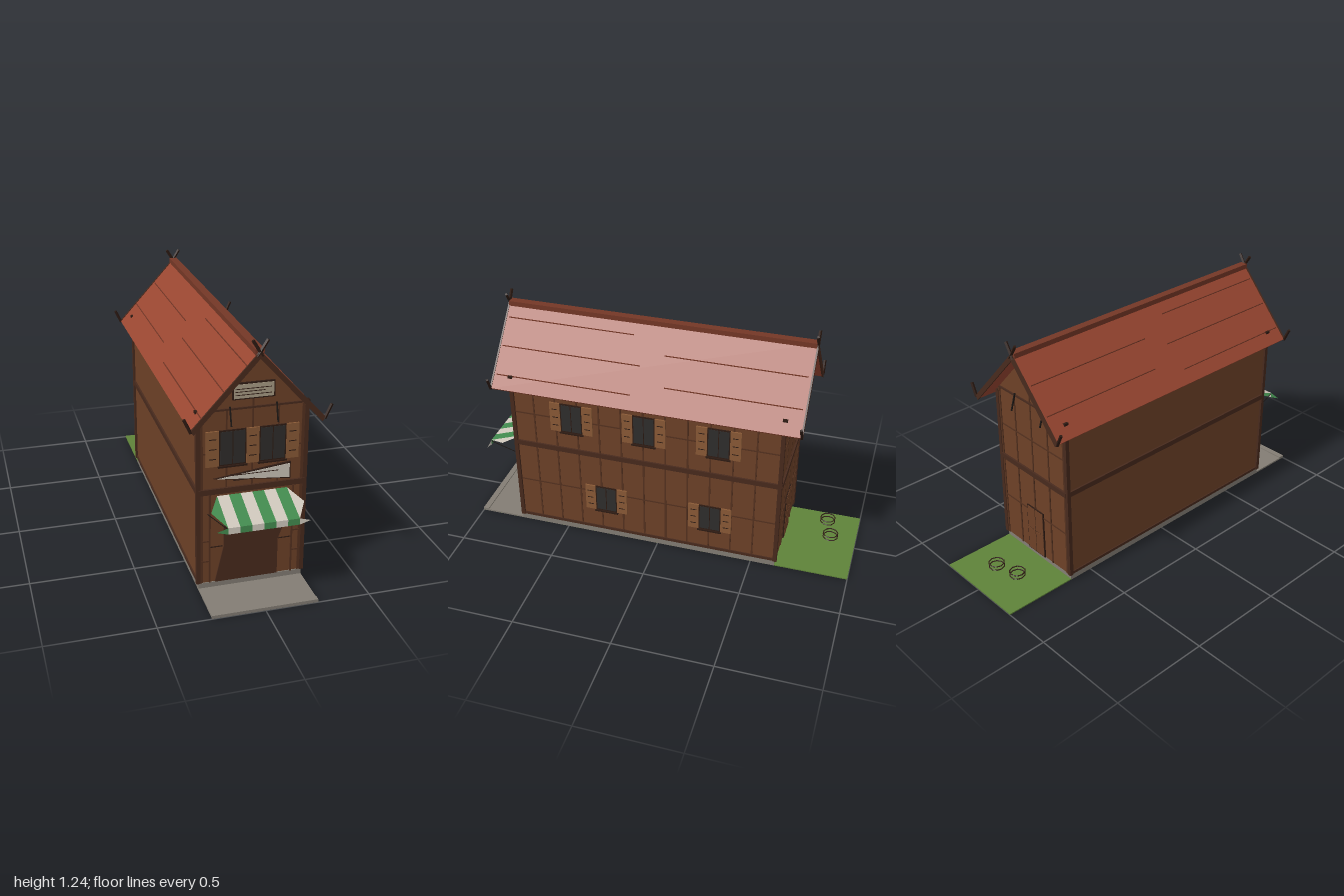
import * as THREE from 'three';

const COLORS = {
  wall: 0x6d4127, timber: 0x482a1d, dark: 0x2e1b13, seam: 0x54311f, shutter: 0x8a5a36,
  roof: 0x994631, roofSeam: 0x743726, pane: 0x2f2d2c, stone: 0x837d74, grass: 0x5f8339,
  green: 0x428a4e, white: 0xcfc8bc, sign: 0xaa9d86, iron: 0x1a1512,
};
const mats = {};
for (const key in COLORS) {
  mats[key] = new THREE.MeshStandardMaterial({ color: COLORS[key], flatShading: true, side: THREE.DoubleSide });
}

function add(parent, name, geo, color) {
  const mesh = new THREE.Mesh(geo, mats[color]);
  mesh.name = name;
  parent.add(mesh);
  return mesh;
}

// Box given by its limits
function box(parent, name, color, x0, x1, y0, y1, z0, z1) {
  const mesh = add(parent, name, new THREE.BoxGeometry(x1 - x0, y1 - y0, z1 - z0), color);
  mesh.position.set((x0 + x1) / 2, (y0 + y1) / 2, (z0 + z1) / 2);
}

// Thin bar between two points, in the parent's own frame
function bar(parent, name, color, a, b, thick) {
  const p = new THREE.Vector3(...a), q = new THREE.Vector3(...b);
  const mesh = add(parent, name, new THREE.BoxGeometry(thick, thick, p.distanceTo(q)), color);
  mesh.position.copy(p).lerp(q, 0.5);
  mesh.quaternion.setFromUnitVectors(new THREE.Vector3(0, 0, 1), q.sub(p).normalize());
}

// Outline in x, y extruded from z0 to z1
function prism(parent, name, color, points, z0, z1) {
  const shape = new THREE.Shape(points.map(([x, y]) => new THREE.Vector2(x, y)));
  const mesh = add(parent, name, new THREE.ExtrudeGeometry(shape, { depth: z1 - z0, bevelEnabled: false }), color);
  mesh.position.z = z0;
}

// Shuttered window on the local plane z = 0, facing +z
function makeWindow(parent, cx, y0, y1, w, sw) {
  const g = new THREE.Group();
  g.name = 'window';
  const h = y1 - y0;
  box(g, 'windowFrame', 'dark', -w / 2, w / 2, 0, h, 0, 0.006);
  box(g, 'pane', 'pane', -w / 2 + 0.006, w / 2 - 0.006, 0.006, h - 0.006, 0, 0.0075);
  box(g, 'mullion', 'dark', -0.002, 0.002, 0.006, h - 0.006, 0, 0.009);
  box(g, 'sill', 'dark', -w / 2 - 0.005, w / 2 + 0.005, -0.008, 0, 0, 0.014);
  for (const s of [-1, 1]) {
    const x = s * (w + sw) / 2;
    box(g, 'shutter', 'shutter', x - sw / 2, x + sw / 2, 0, h, 0, 0.008);
    for (const f of [0.22, 0.5, 0.78]) {
      box(g, 'shutterSlat', 'dark', x - sw * 0.28, x + sw * 0.28, h * f - 0.002, h * f + 0.002, 0, 0.0095);
    }
  }
  g.position.set(cx, y0, 0);
  parent.add(g);
}

// Timber framing shared by the two end walls
function frameEnd(g) {
  box(g, 'middleBeam', 'timber', -0.25, 0.25, 0.493, 0.52, 0, 0.01);
  box(g, 'gableBeam', 'timber', -0.25, 0.25, 0.893, 0.902, 0, 0.007);
  for (const x of [-0.12, 0, 0.12]) box(g, 'upperStud', 'seam', x - 0.004, x + 0.004, 0.52, x ? 0.893 : 0.94, 0, 0.003);
  for (const s of [-1, 1]) {
    box(g, 'edgeStud', 'seam', s * 0.235 - 0.006, s * 0.235 + 0.006, 0.035, 0.89, 0, 0.004);
    bar(g, 'gableBracket', 'iron', [s * 0.107, 0.91, 0.005], [s * 0.107, 0.825, 0.03], 0.006);
  }
}

function buildFront(g) {
  frameEnd(g);
  box(g, 'wallRail', 'seam', -0.25, 0.25, 0.69, 0.697, 0, 0.003);
  for (const s of [-1, 1]) {
    makeWindow(g, s * 0.093, 0.63, 0.8, 0.126, 0.06);
    box(g, 'doorPost', 'seam', s * 0.197 - 0.004, s * 0.197 + 0.004, 0.035, 0.49, 0, 0.007);
    box(g, 'panelRail', 'dark', s * 0.165 - 0.03, s * 0.165 + 0.03, 0.218, 0.222, 0, 0.004);
    for (const y of [0.145, 0.25]) box(g, 'sidePanelRail', 'seam', s * 0.22 - 0.02, s * 0.22 + 0.02, y, y + 0.007, 0, 0.005);
  }
  prism(g, 'doorway', 'timber', [[-0.13, 0.44], [0.19, 0.44], [0.19, 0.385], [0.13, 0.22], [0.13, 0.035],
    [-0.172, 0.035], [-0.13, 0.22]], 0, 0.006);
  // Signs
  box(g, 'gableSignFrame', 'dark', -0.097, 0.097, 0.94, 1.017, 0, 0.01);
  box(g, 'gableSign', 'sign', -0.091, 0.091, 0.946, 1.011, 0, 0.012);
  for (const [y, x] of [[0.962, 0.08], [0.977, 0.05], [0.99, 0.08]]) {
    box(g, 'signGroove', 'dark', -0.085, x, y - 0.0015, y + 0.0015, 0, 0.0135);
  }
  prism(g, 'pennantEdge', 'dark', [[-0.18, 0.569], [0.18, 0.53], [0.18, 0.613]], 0, 0.01);
  prism(g, 'pennant', 'white', [[-0.165, 0.569], [0.175, 0.536], [0.175, 0.606]], 0, 0.012);
  box(g, 'pennantGroove', 'dark', -0.09, 0.01, 0.552, 0.555, 0, 0.0135);
  box(g, 'pennantGroove', 'dark', -0.1, 0.12, 0.578, 0.581, 0, 0.0135);
}

// Striped awning with pointed ends: sloping sheet plus hanging valance
function buildAwning(g) {
  const sheet = (name, color, pts) => {
    const geo = new THREE.BufferGeometry();
    geo.setAttribute('position', new THREE.Float32BufferAttribute(pts.flat(), 3));
    geo.setIndex(pts.length === 4 ? [0, 1, 2, 0, 2, 3] : [0, 1, 2]);
    geo.computeVertexNormals();
    add(g, name, geo, color);
  };
  const rows = [['awningStripe', 0.485, 0.005, 0.42, 0.185], ['valanceStripe', 0.42, 0.185, 0.39, 0.187]];
  for (const [name, yT, zT, yB, zB] of rows) {
    const w = 0.055, yM = (yT + yB) / 2, zM = (zT + zB) / 2;
    for (let i = -3; i < 3; i++) {
      const a = i * w, b = a + w;
      sheet(name, i % 2 ? 'white' : 'green', [[a, yB, zB], [b, yB, zB], [b, yT, zT], [a, yT, zT]]);
    }
    sheet(name, 'green', [[-0.165, yT, zT], [-0.217, yM, zM], [-0.165, yB, zB]]);
    sheet(name, 'white', [[0.165, yB, zB], [0.217, yM, zM], [0.165, yT, zT]]);
  }
  for (const s of [-1, 1]) {
    bar(g, 'awningArm', 'iron', [s * 0.163, 0.482, 0.005], [s * 0.163, 0.417, 0.183], 0.004);
    bar(g, 'awningStrut', 'iron', [s * 0.207, 0.395, 0], [s * 0.165, 0.412, 0.183], 0.003);
  }
  bar(g, 'awningFrontRail', 'iron', [-0.165, 0.418, 0.183], [0.165, 0.418, 0.183], 0.004);
}

function buildBack(g) {
  frameEnd(g);
  for (const y of [0.27, 0.69]) box(g, 'wallRail', 'seam', -0.25, 0.25, y, y + 0.007, 0, 0.003);
  for (const x of [-0.12, 0, 0.12]) box(g, 'lowerStud', 'seam', x - 0.004, x + 0.004, x ? 0.035 : 0.3, 0.5, 0, 0.004);
  box(g, 'backDoorFrame', 'dark', -0.063, 0.063, 0.035, 0.3, 0, 0.006);
  for (const s of [-1, 1]) {
    for (const y of [0.04, 0.17]) box(g, 'backDoorPanel', 'wall', s * 0.03 - 0.028, s * 0.03 + 0.028, y, y + 0.126, 0, 0.008);
  }
}

// Windowed long wall; local x runs along the building
function buildSide(g) {
  for (let i = 1; i < 12; i++) {
    const x = -0.76 + i * 0.115;
    box(g, 'sideStud', 'seam', x - 0.004, x + 0.004, 0.035, 0.89, 0, 0.003);
  }
  for (const y of [0.27, 0.69]) box(g, 'sideRail', 'seam', -0.76, 0.63, y, y + 0.007, 0, 0.003);
  for (const z of [0.445, 0.065, -0.315]) makeWindow(g, -z, 0.62, 0.785, 0.115, 0.055);
  for (const z of [0.275, -0.28]) makeWindow(g, -z, 0.16, 0.31, 0.115, 0.055);
}

function buildRoof(g) {
  const chevron = (x, yE, top, t) => [[0, top], [x, yE], [x - t * 0.7, yE - t * 0.7], [0, top - t * 1.45],
    [-x + t * 0.7, yE - t * 0.7], [-x, yE]];
  prism(g, 'roofSlabs', 'roof', chevron(0.305, 0.846, 1.18, 0.017), -0.715, 0.84);
  box(g, 'ridgeBeam', 'roofSeam', -0.02, 0.02, 1.165, 1.19, -0.715, 0.84);
  for (const z of [-0.722, 0.84]) {
    prism(g, 'bargeBoard', 'timber', chevron(0.308, 0.848, 1.184, 0.024), z, z + 0.008);
    for (const s of [-1, 1]) {
      bar(g, 'ridgeHorn', 'dark', [-s * 0.012, 1.16, z + 0.004], [s * 0.034, 1.233, z + 0.004], 0.011);
      bar(g, 'eaveHorn', 'dark', [s * 0.303, 0.842, z + 0.004], [s * 0.334, 0.908, z + 0.004], 0.011);
    }
  }
  // Plank seams and pegs on both slopes
  const seams = [[0.055, 0.17, 0.83], [0.11, -0.7, 0], [0.155, 0.11, 0.83], [0.215, -0.7, -0.03], [0.255, 0.13, 0.83]];
  const slopeY = (x) => 1.18 - x * (0.334 / 0.305);
  for (const s of [-1, 1]) {
    for (const [x, z0, z1] of seams) bar(g, 'roofSeam', 'roofSeam', [s * x, slopeY(x), z0], [s * x, slopeY(x), z1], 0.004);
    for (const z of [-0.63, 0.755]) bar(g, 'roofPeg', 'dark', [s * 0.258, slopeY(0.258), z - 0.012], [s * 0.258, slopeY(0.258), z + 0.012], 0.012);
  }
}

export function createModel() {
  const model = new THREE.Group();
  model.name = 'timberHouse';
  const section = (name, x = 0, z = 0, turn = 0) => {
    const g = new THREE.Group();
    g.name = name;
    g.position.set(x, 0, z);
    g.rotation.y = turn;
    model.add(g);
    return g;
  };

  // Plot and foundation
  box(model, 'grass', 'grass', -0.25, 0.25, 0, 0.006, -1, 0.998);
  box(model, 'pavement', 'stone', -0.251, 0.251, 0.001, 0.01, 0.7, 1);
  box(model, 'kerb', 'stone', -0.251, 0.251, 0.001, 0.016, 0.97, 1);
  box(model, 'foundation', 'stone', -0.251, 0.251, 0.001, 0.036, -0.625, 0.765);

  // Walls, corner posts and long beams
  prism(model, 'walls', 'wall', [[-0.25, 0.035], [0.25, 0.035], [0.25, 0.89], [0, 1.16], [-0.25, 0.89]], -0.63, 0.76);
  for (const s of [-1, 1]) {
    for (const z of [-0.627, 0.757]) box(model, 'cornerPost', 'timber', s * 0.251 - 0.01, s * 0.251 + 0.01, 0.035, 0.88, z - 0.01, z + 0.01);
    box(model, 'sideBeam', 'timber', s * 0.251 - 0.008, s * 0.251 + 0.008, 0.495, 0.522, -0.63, 0.76);
    box(model, 'sillBeam', 'timber', s * 0.25 - 0.006, s * 0.25 + 0.006, 0.035, 0.05, -0.63, 0.76);
  }

  buildFront(section('frontWall', 0, 0.76));
  buildAwning(section('awning', 0, 0.765));
  buildBack(section('backWall', 0, -0.63, Math.PI));
  buildSide(section('leftWall', 0.25, 0, Math.PI / 2));
  buildRoof(section('roof'));

  // Hoops in the garden
  for (const [x, z] of [[-0.105, -0.84], [0.018, -0.873]]) {
    for (const y of [0.068, 0.088]) {
      const hoop = add(model, 'hoop', new THREE.TorusGeometry(0.038, 0.003, 5, 10), 'dark');
      hoop.rotation.x = Math.PI / 2;
      hoop.position.set(x, y, z);
    }
  }
  return model;
}
